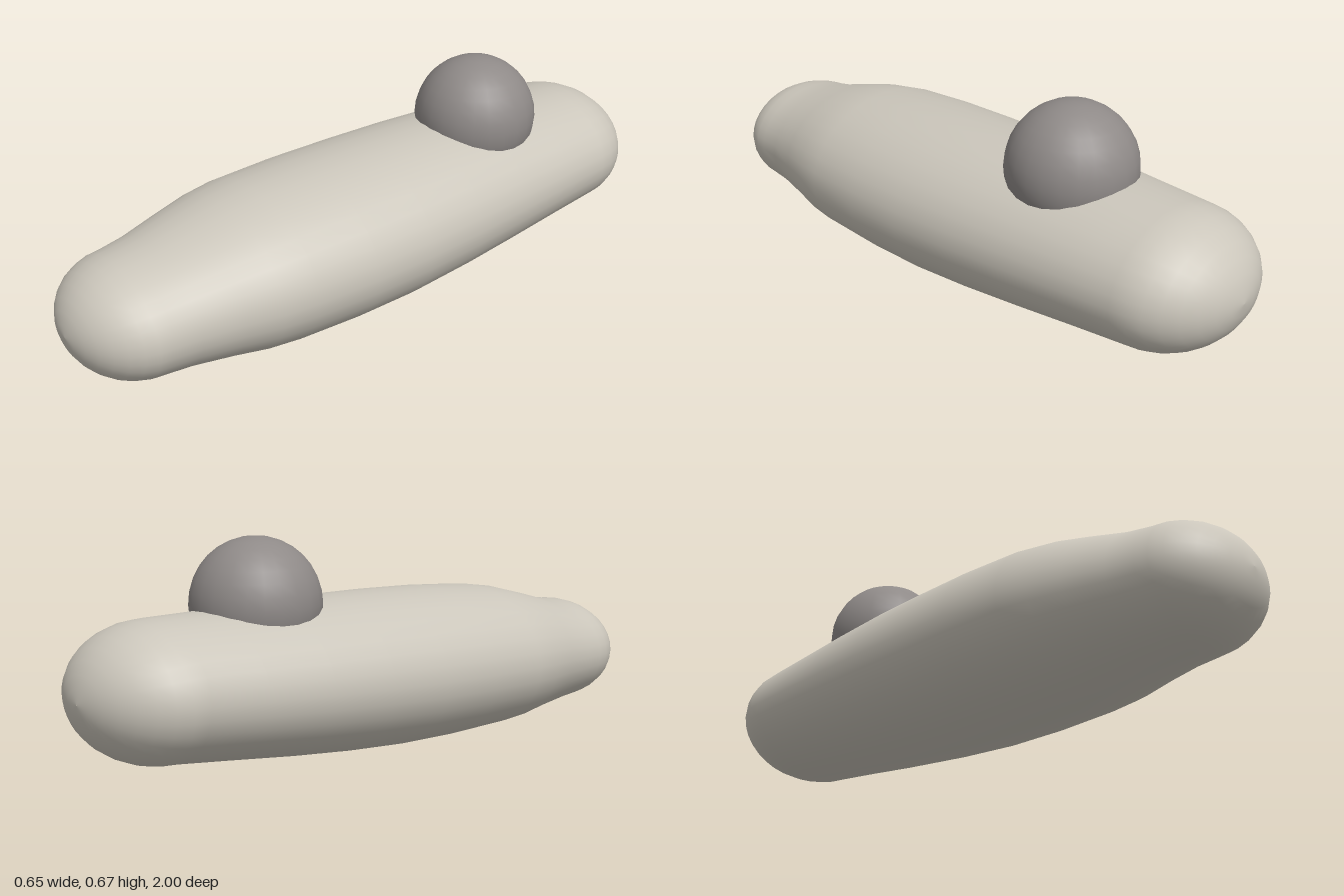
import * as THREE from 'three';

// Body stations from front to back: z, left edge, right edge, bottom, top
const STATIONS = [
  [0.80, -0.26, 0.20, 0.038, 0.382],
  [0.72, -0.272, 0.214, 0.034, 0.394],
  [0.60, -0.296, 0.25, 0.022, 0.427],
  [0.50, -0.317, 0.282, 0.009, 0.452],
  [0.40, -0.328, 0.302, 0.004, 0.467],
  [0.20, -0.326, 0.32, 0.002, 0.48],
  [0.00, -0.314, 0.327, 0.007, 0.486],
  [-0.20, -0.297, 0.324, 0.022, 0.488],
  [-0.40, -0.274, 0.316, 0.043, 0.485],
  [-0.60, -0.247, 0.308, 0.068, 0.48],
  [-0.77, -0.222, 0.302, 0.088, 0.478],
];
const SIDES = 32, CAP_STEPS = 8;

// Elliptical rings: the stations plus a rounded cap at each end
function bodyRings() {
  const rings = STATIONS.map(([z, l, r, b, t]) => ({
    z, cx: (l + r) / 2, cy: (b + t) / 2, rx: (r - l) / 2, ry: (t - b) / 2,
  }));
  const cap = (ring, tipZ) => {
    const out = [];
    for (let i = 1; i <= CAP_STEPS; i++) {
      const a = (i / CAP_STEPS) * Math.PI / 2;
      const k = Math.max(Math.cos(a), 0.001);
      out.push({ ...ring, z: ring.z + (tipZ - ring.z) * Math.sin(a), rx: ring.rx * k, ry: ring.ry * k });
    }
    return out;
  };
  return [...cap(rings[0], 1).reverse(), ...rings, ...cap(rings[rings.length - 1], -1)];
}

function loft(rings) {
  const positions = [], index = [];
  rings.forEach(({ z, cx, cy, rx, ry }, j) => {
    for (let i = 0; i < SIDES; i++) {
      const a = (i / SIDES) * Math.PI * 2;
      positions.push(cx + rx * Math.cos(a), cy + ry * Math.sin(a), z);
      if (j === 0) continue;
      const n = (i + 1) % SIDES, p = (j - 1) * SIDES, q = j * SIDES;
      index.push(p + i, q + i, p + n, p + n, q + i, q + n);
    }
  });
  const geometry = new THREE.BufferGeometry();
  geometry.setAttribute('position', new THREE.Float32BufferAttribute(positions, 3));
  geometry.setIndex(index);
  geometry.computeVertexNormals();
  return geometry;
}

export function createModel() {
  const group = new THREE.Group();
  const paleStone = new THREE.MeshStandardMaterial({ name: 'paleStone', color: 0xcbc6bb });
  const greyStone = new THREE.MeshStandardMaterial({ name: 'greyStone', color: 0x8f8a88 });

  // Long rounded body
  const body = new THREE.Mesh(loft(bodyRings()), paleStone);
  body.name = 'body';

  // Ball sunk into the back of the body
  const ball = new THREE.Mesh(new THREE.SphereGeometry(0.19, 24, 16), greyStone);
  ball.name = 'ball';
  ball.position.set(0.04, 0.485, -0.425);

  group.add(body, ball);
  return group;
}
